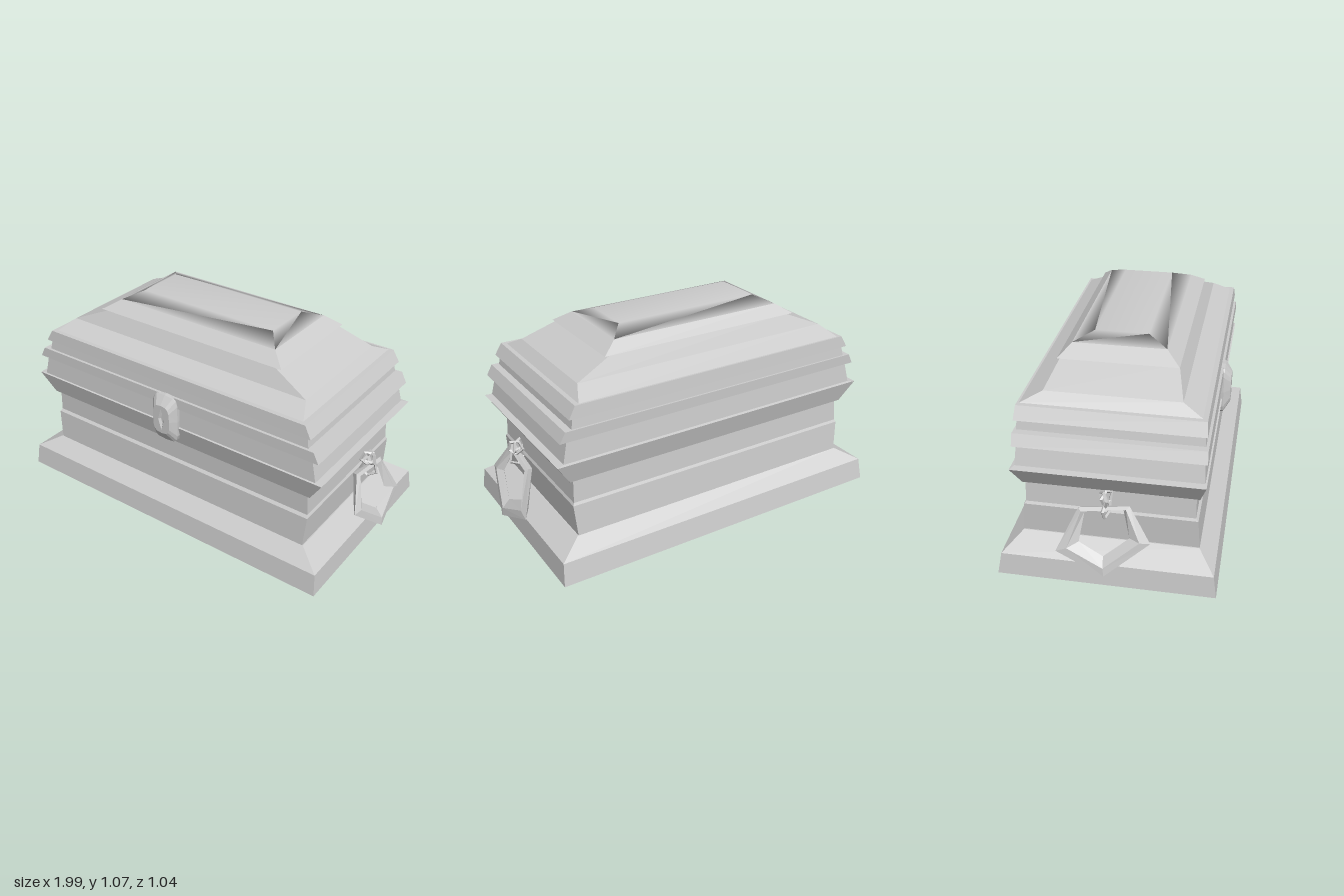
import * as THREE from 'three';
import { mergeVertices } from 'three/addons/utils/BufferGeometryUtils.js';

const material = new THREE.MeshStandardMaterial({ color: 0xcccccc });

// Skin a list of equal-length point rings; either cap both ends or close into a loop.
function loft(rings, { closed = false, smooth = false } = {}) {
  const pos = [];
  const tri = (...pts) => pts.forEach((p) => pos.push(...p));
  const n = rings[0].length;
  const last = rings.length - 1;
  for (let i = 0; i < (closed ? rings.length : last); i++) {
    const lo = rings[i], hi = rings[(i + 1) % rings.length];
    for (let j = 0; j < n; j++) {
      const k = (j + 1) % n;
      tri(lo[j], lo[k], hi[k]);
      tri(lo[j], hi[k], hi[j]);
    }
  }
  if (!closed) {
    for (let k = 1; k < n - 1; k++) {
      tri(rings[0][0], rings[0][k + 1], rings[0][k]);
      tri(rings[last][0], rings[last][k], rings[last][k + 1]);
    }
  }
  let g = new THREE.BufferGeometry();
  g.setAttribute('position', new THREE.Float32BufferAttribute(pos, 3));
  if (smooth) g = mergeVertices(g);
  g.computeVertexNormals();
  return g;
}

// Rectangular ring: height, half width, front z, back z.
const rect = ([y, x, zf, zb]) => [[-x, y, zf], [x, y, zf], [x, y, zb], [-x, y, zb]];

function part(name, geometry) {
  const mesh = new THREE.Mesh(geometry, material);
  mesh.name = name;
  return mesh;
}

// Ring handle: outer corner (y, z), inner corner (y, z) and x of each corner.
const corners = [
  [0.125, 0.011, 0.208, 0.003, 0.985],
  [0.296, 0.217, 0.304, 0.12, 0.93],
  [0.448, 0.115, 0.425, 0.085, 0.872],
  [0.42, -0.12, 0.398, -0.092, 0.88],
  [0.214, -0.217, 0.26, -0.113, 0.95],
];

function handle(side) {
  const group = new THREE.Group();
  group.name = side > 0 ? 'leftHandle' : 'rightHandle';
  const sections = corners.map(([yo, zo, yi, zi, x]) => {
    const ym = (yo + yi) / 2, zm = (zo + zi) / 2;
    const xi = x - (yi - yo) * 0.35;
    const ring = [
      [x + 0.012, yo, zo], [(x + xi) / 2 + 0.022, ym, zm],
      [xi, yi, zi], [(x + xi) / 2 - 0.018, ym, zm],
    ].map(([px, py, pz]) => [px * side, py, pz]);
    return side > 0 ? ring : ring.reverse();
  });
  group.add(part('pull', loft(sections, { closed: true })));

  // Small links hanging the pull from the body
  const links = [
    [0.885, 0.485, 0.01, 0.036, 0.6], [0.9, 0.485, 0, 0.036, -0.6], [0.895, 0.43, 0.01, 0.042, 0.25],
  ];
  links.forEach(([x, y, z, r, turn], i) => {
    const link = part('link' + (i + 1), new THREE.TorusGeometry(r, 0.008, 4, 5).toNonIndexed());
    link.geometry.computeVertexNormals();
    link.position.set(x * side, y, z);
    link.rotation.set(0, turn * side, -0.4 * side);
    group.add(link);
  });
  return group;
}

// Chamfered oval ring for the clasp, centred on x = 0.
function oval(hx, hy, z, y, power) {
  return Array.from({ length: 16 }, (_, i) => {
    const a = (i / 16) * Math.PI * 2, c = Math.cos(a), s = Math.sin(a);
    return [Math.sign(c) * Math.abs(c) ** power * hx, y + Math.sign(s) * Math.abs(s) ** power * hy, z];
  });
}

export function createModel() {
  const model = new THREE.Group();
  model.name = 'chest';

  // Plinth
  model.add(part('base', loft([
    [0, 0.915, 0.52, -0.52],
    [0.113, 0.905, 0.505, -0.5],
    [0.178, 0.79, 0.425, -0.418],
  ].map(rect))));

  // Moulded box
  model.add(part('body', loft([
    [0.178, 0.785, 0.425, -0.418],
    [0.335, 0.797, 0.415, -0.405],
    [0.348, 0.79, 0.403, -0.398],
    [0.465, 0.785, 0.403, -0.392],
    [0.465, 0.805, 0.42, -0.403],
    [0.575, 0.876, 0.45, -0.437],
  ].map(rect))));

  // Stepped lid
  model.add(part('lid', loft([
    [0.575, 0.876, 0.45, -0.437],
    [0.578, 0.84, 0.442, -0.422],
    [0.685, 0.815, 0.435, -0.413],
    [0.685, 0.853, 0.45, -0.426],
    [0.738, 0.825, 0.448, -0.428],
    [0.738, 0.79, 0.434, -0.418],
    [0.79, 0.78, 0.428, -0.413],
    [0.79, 0.802, 0.441, -0.425],
    [0.85, 0.768, 0.435, -0.42],
    [0.85, 0.745, 0.412, -0.41],
    [0.897, 0.7, 0.32, -0.31],
    [0.98, 0.505, 0.276, -0.27],
    [0.98, 0.543, 0.282, -0.283],
    [1.03, 0.465, 0.214, -0.228],
  ].map(rect))));

  // Softly shaded crown
  model.add(part('lidCrown', loft([
    [1.03, 0.465, 0.214, -0.228],
    [1.065, 0.39, 0.118, -0.135],
  ].map(rect), { smooth: true })));

  // Front clasp with a recessed diamond
  model.add(part('clasp', loft([
    oval(0.076, 0.128, 0.4, 0.613, 0.45),
    oval(0.076, 0.128, 0.455, 0.613, 0.45),
    oval(0.05, 0.078, 0.489, 0.618, 0.6),
    oval(0.018, 0.062, 0.489, 0.618, 2),
    oval(0.008, 0.03, 0.478, 0.618, 2),
  ])));

  model.add(handle(1), handle(-1));
  return model;
}
